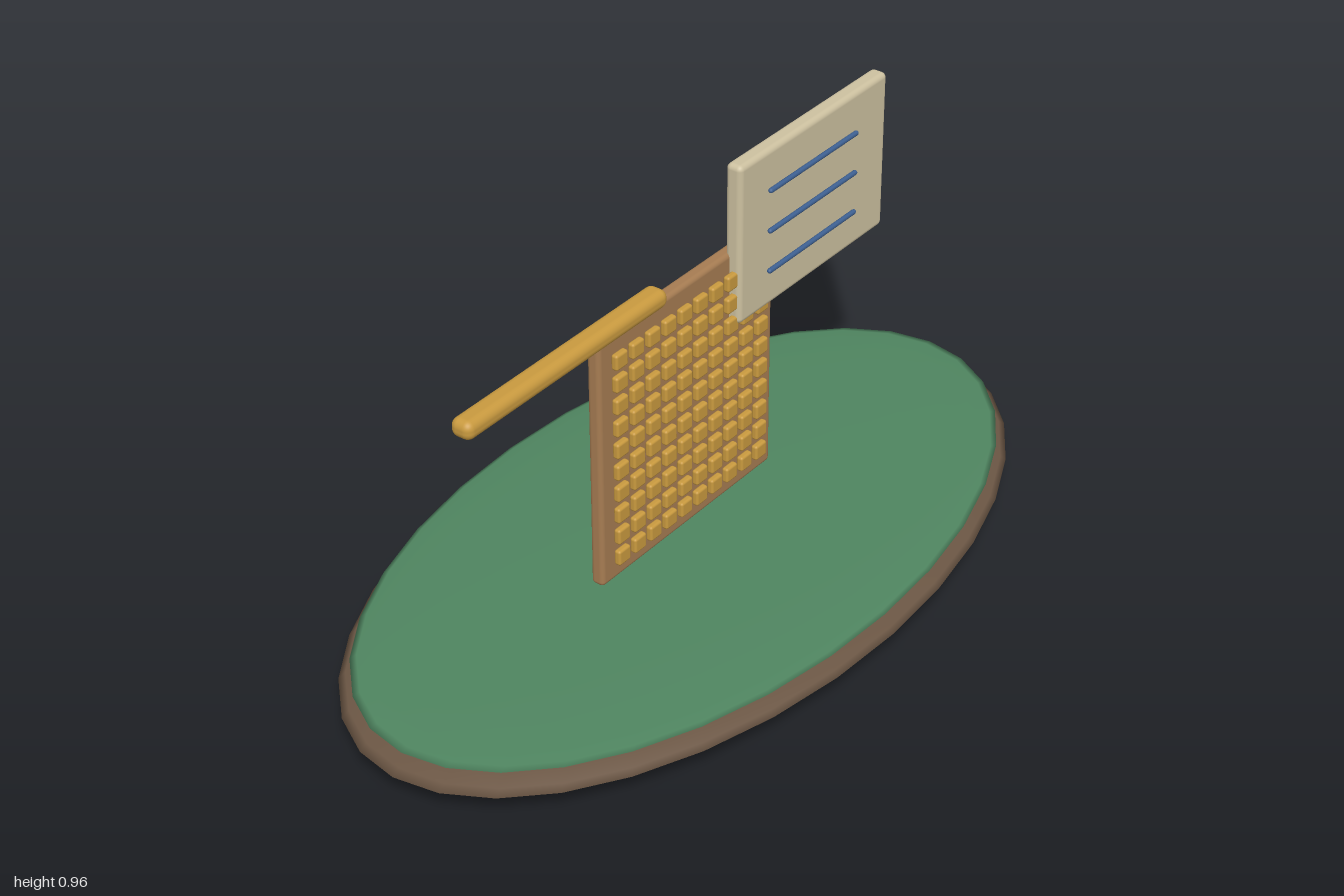
import * as THREE from 'three';
import { RoundedBoxGeometry } from 'three/addons/geometries/RoundedBoxGeometry.js';

const material = (color) => new THREE.MeshStandardMaterial({ color });
const WOOD = material(0xa67c52);
const GOLD = material(0xc99a3f);
const PAPER = material(0xcdc1a0);
const INK = material(0x3f6294);
const SOIL = material(0x6b5644);
const GRASS = material(0x4f8560);

function add(parent, name, geometry, mat, x, y, z) {
  const mesh = new THREE.Mesh(geometry, mat);
  mesh.name = name;
  mesh.position.set(x, y, z);
  parent.add(mesh);
  return mesh;
}

export function createModel() {
  const model = new THREE.Group();
  model.name = 'gridBoardOnIsland';

  // Flattened oval base with a thin green top layer
  const ball = new THREE.SphereGeometry(1, 32, 16);
  add(model, 'base', ball, SOIL, 0, 0.06, 0).scale.set(1, 0.06, 0.545);
  add(model, 'grassTop', ball, GRASS, 0, 0.104, 0).scale.set(0.97, 0.018, 0.523);

  // Upright board
  add(model, 'board', new RoundedBoxGeometry(0.615, 0.625, 0.034, 3, 0.011), WOOD, 0, 0.43, -0.022);

  // Ten by ten grid of small tiles in front of the board
  const tiles = new THREE.Group();
  tiles.name = 'tiles';
  model.add(tiles);
  const tile = new RoundedBoxGeometry(0.04, 0.038, 0.017, 2, 0.006);
  const step = 0.0556;
  for (let row = 0; row < 10; row++) {
    for (let col = 0; col < 10; col++) {
      add(tiles, 'tile', tile, GOLD, -0.003 + (col - 4.5) * step, 0.433 + (row - 4.5) * step, 0.007);
    }
  }

  // Horizontal bar reaching out to the right of the board
  add(model, 'bar', new RoundedBoxGeometry(0.645, 0.044, 0.054, 4, 0.019), GOLD, -0.427, 0.767, -0.002);

  // Note panel with three written lines
  add(model, 'notePanel', new RoundedBoxGeometry(0.553, 0.392, 0.042, 3, 0.013), PAPER, 0.422, 0.766, 0.002);
  const line = new THREE.CapsuleGeometry(0.006, 0.322, 4, 8).rotateZ(Math.PI / 2);
  for (const y of [0.665, 0.766, 0.866]) {
    add(model, 'noteLine', line, INK, 0.407, y, 0.03);
  }

  return model;
}
